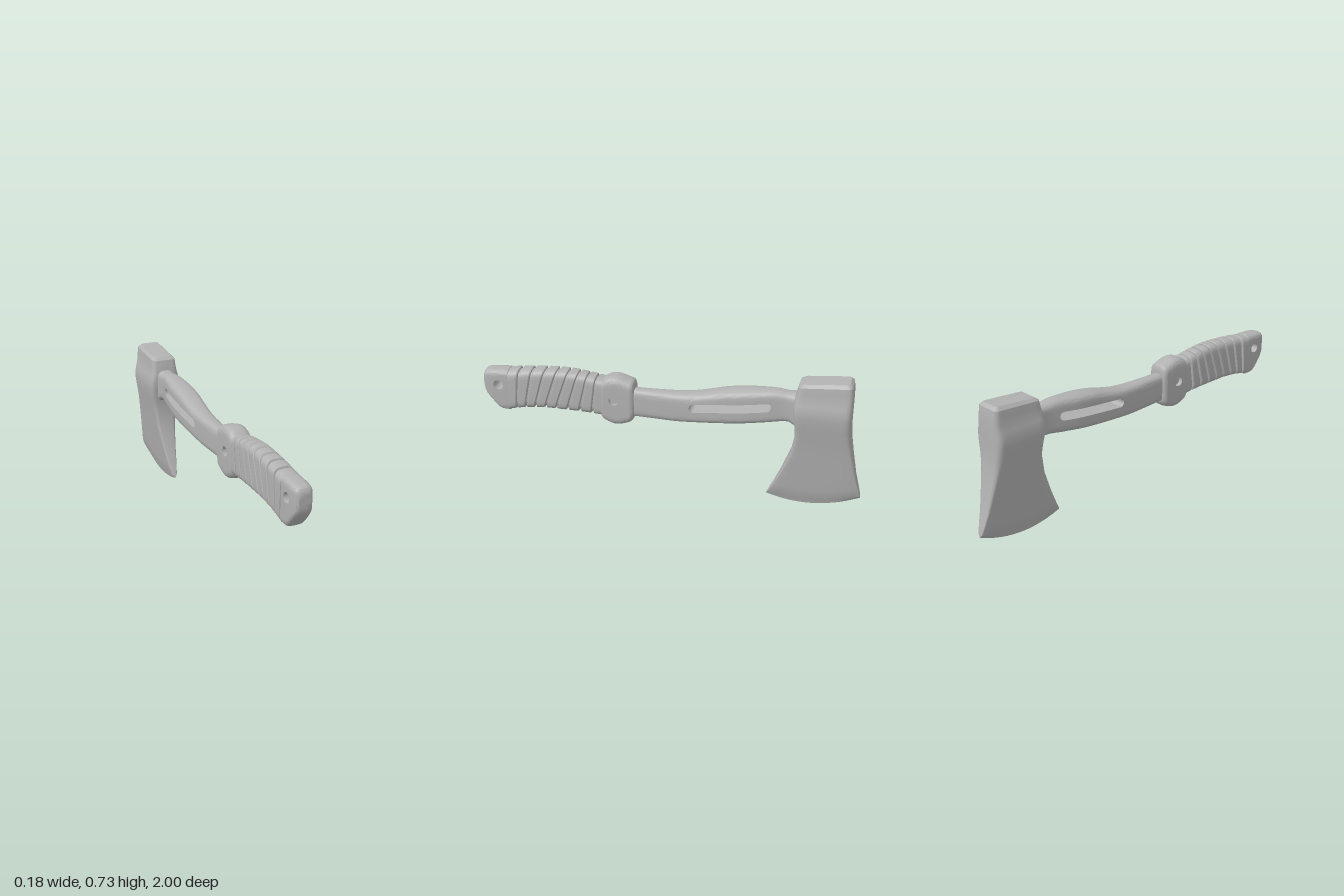
import * as THREE from 'three';
import { toCreasedNormals } from 'three/addons/utils/BufferGeometryUtils.js';

const steel = new THREE.MeshStandardMaterial({ color: 0xb2b2b2 });
steel.name = 'grey';

// Smooth curve without overshoot through [position, value] pairs
function curve(pts) {
  const p = [...pts].sort((a, b) => a[0] - b[0]);
  const d = p.slice(1).map((q, i) => (q[1] - p[i][1]) / (q[0] - p[i][0]));
  const m = p.map((_, i) => {
    const a = d[Math.max(i - 1, 0)], b = d[Math.min(i, d.length - 1)];
    return a * b <= 0 ? 0 : (2 * a * b) / (a + b);
  });
  return (x) => {
    if (x <= p[0][0]) return p[0][1];
    if (x >= p[p.length - 1][0]) return p[p.length - 1][1];
    let i = 0;
    while (x > p[i + 1][0]) i++;
    const h = p[i + 1][0] - p[i][0], t = (x - p[i][0]) / h, s = 1 - t;
    return p[i][1] * (1 + 2 * t) * s * s + p[i + 1][1] * t * t * (3 - 2 * t)
      + h * m[i] * t * s * s - h * m[i + 1] * t * t * s;
  };
}

// Closed skin over a row of rings of [x, y, z] points, capped at both ends
function loft(name, rings, crease = 0.6) {
  const n = rings[0].length, pos = rings.flat(2), idx = [];
  for (let i = 0; i < rings.length - 1; i++) {
    for (let j = 0; j < n; j++) {
      const a = i * n + j, b = i * n + (j + 1) % n;
      idx.push(a, b, a + n, b, b + n, a + n);
    }
  }
  [0, rings.length - 1].forEach((r) => {
    const c = pos.length / 3;
    for (let k = 0; k < 3; k++) pos.push(rings[r].reduce((s, p) => s + p[k], 0) / n);
    for (let j = 0; j < n; j++) {
      const a = r * n + j, b = r * n + (j + 1) % n;
      if (r === 0) idx.push(b, a, c); else idx.push(a, b, c);
    }
  });
  // Turn the faces outward if the enclosed volume is negative
  const v = (i) => new THREE.Vector3().fromArray(pos, i * 3);
  let volume = 0;
  for (let i = 0; i < idx.length; i += 3) volume += v(idx[i]).dot(v(idx[i + 1]).cross(v(idx[i + 2])));
  if (volume < 0) idx.reverse();
  const g = new THREE.BufferGeometry();
  g.setAttribute('position', new THREE.Float32BufferAttribute(pos, 3));
  g.setIndex(idx);
  const mesh = new THREE.Mesh(toCreasedNormals(g, crease), steel);
  mesh.name = name;
  return mesh;
}

// Rounded arch from side to side, from the rim at y = edge - h to y = edge
function arch(w, edge, h, z) {
  const out = [];
  for (let k = 0; k <= 16; k++) {
    const a = (k / 16) * Math.PI, c = Math.cos(a);
    out.push([Math.sign(c) * w * Math.abs(c) ** 0.7, edge - h + h * Math.max(Math.sin(a), 0) ** 0.7, z]);
  }
  return out;
}

// Bar along z with a round-ended slot through it, made as an upper and a lower half
function slottedBar(name, { top, bottom, width, z0, z1, round, slot }) {
  const T = curve(top), B = curve(bottom), W = curve(width), { a, b, r, y } = slot;
  const zs = [];
  for (let k = 0; k <= 44; k++) zs.push(z0 + (z1 - z0) * k / 44);
  for (let k = 0; k <= 8; k++) {
    const d = r * (1 - Math.cos(k * Math.PI / 16));
    zs.push(a + d, b - d);
  }
  zs.sort((p, q) => p - q);
  const gap = (z) => {
    const d = Math.min(z - a, b - z);
    return d <= 0 ? 0 : d < r ? Math.sqrt(r * r - (r - d) ** 2) : r;
  };
  const half = (edge, s) => loft(s > 0 ? 'upperHalf' : 'lowerHalf', zs.map((z) => {
    const rim = y(z) + s * gap(z), e = edge(z), w = W(z);
    const h = s * Math.min(round, Math.abs(e - rim) * 0.95);
    return [[w, rim, z], ...arch(w, e, h, z), [-w, rim, z]];
  }));
  const group = new THREE.Group();
  group.name = name;
  group.add(half(T, 1), half(B, -1));
  return group;
}

// Axe head: rounded rectangles stacked from the poll down to the curved edge
function axeHead() {
  // yFront, yBack, sag, zFront, zBack, half width, corner radius
  const rows = [
    [0.705, 0.727, 0, -0.675, -0.9, 0.05, 0.015],
    [0.69, 0.712, 0, -0.655, -0.915, 0.066, 0.02],
    [0.66, 0.68, 0, -0.648, -0.92, 0.07, 0.025],
    [0.63, 0.64, 0, -0.64, -0.922, 0.072, 0.025],
    [0.6, 0.605, 0, -0.637, -0.922, 0.081, 0.03],
    [0.57, 0.57, 0, -0.635, -0.922, 0.088, 0.03],
    [0.53, 0.53, 0, -0.636, -0.922, 0.087, 0.03],
    [0.47, 0.47, 0, -0.645, -0.923, 0.078, 0.028],
    [0.41, 0.41, 0, -0.65, -0.928, 0.066, 0.022],
    [0.3, 0.31, 0, -0.63, -0.945, 0.051, 0.014],
    [0.18, 0.2, 0.01, -0.585, -0.967, 0.035, 0.008],
    [0.1, 0.13, 0.02, -0.55, -0.986, 0.024, 0.005],
    [0.05, 0.085, 0.035, -0.525, -0.998, 0.0145, 0.003],
    [0.03, 0.07, 0.05, -0.515, -1, 0.0005, 0.0003],
  ];
  return loft('axeHead', rows.map(([yf, yb, sag, zf, zb, w, r]) => {
    const side = [];
    for (let k = 0; k <= 4; k++) {
      const a = (k / 4) * Math.PI / 2;
      side.push([w - r + r * Math.sin(a), zf - r + r * Math.cos(a)]);
    }
    for (let k = 1; k < 12; k++) side.push([w, zf - r + (zb - zf + 2 * r) * k / 12]);
    for (let k = 0; k <= 4; k++) {
      const a = (k / 4) * Math.PI / 2;
      side.push([w - r + r * Math.cos(a), zb + r - r * Math.sin(a)]);
    }
    const ring = [...side, ...side.map(([x, z]) => [-x, z]).reverse()];
    return ring.map(([x, z]) => {
      const u = (zf - z) / (zf - zb);
      return [x, yf + (yb - yf) * u - 4 * sag * u * (1 - u), z];
    });
  }), 0.5);
}

// Grip wrap: slanted raised bands with narrow grooves between them
function gripWrap() {
  const T = curve([[0.33, 0.6], [0.45, 0.616], [0.6, 0.627], [0.72, 0.62], [0.86, 0.598]]);
  const B = curve([[0.33, 0.395], [0.45, 0.402], [0.6, 0.402], [0.72, 0.393], [0.86, 0.37]]);
  const z0 = 0.33, z1 = 0.862, bands = 9, step = (z1 - z0) / bands, rings = [];
  const ring = (t, inset) => {
    const top = T(t) - inset, bottom = B(t) + inset, w = 0.054 - inset;
    const slant = 0.35 * Math.sin(Math.PI * (t - z0) / (z1 - z0));
    rings.push([...arch(w, top, 0.05, t), ...arch(-w, bottom, -0.05, t)]
      .map(([x, y, z]) => [x, y, z - slant * (y - 0.5)]));
  };
  for (let i = 0; i < bands; i++) {
    const t = z0 + i * step;
    ring(t, 0.011);
    ring(t + 0.009, 0.011);
    ring(t + 0.011, 0.003);
    ring(t + 0.015, 0);
    ring(t + step - 0.004, 0);
    ring(t + step - 0.001, 0.003);
  }
  return loft('gripWrap', rings, 0.5);
}

export function createModel() {
  const model = new THREE.Group();
  model.name = 'hatchet';

  // Shaft with its long slot, running on inside the grip as a tang
  const shaft = slottedBar('shaft', {
    z0: -0.7, z1: 0.6, round: 0.045,
    top: [[0.6, 0.56], [0.19, 0.56], [0, 0.563], [-0.1, 0.57], [-0.2, 0.59], [-0.3, 0.615], [-0.45, 0.634],
      [-0.55, 0.64], [-0.61, 0.634], [-0.65, 0.636]],
    bottom: [[0.6, 0.42], [0.19, 0.405], [0, 0.405], [-0.2, 0.42], [-0.35, 0.437], [-0.5, 0.46], [-0.61, 0.476], [-0.65, 0.455]],
    width: [[0.6, 0.035], [0.19, 0.036], [0, 0.044], [-0.2, 0.055], [-0.38, 0.06], [-0.5, 0.051], [-0.6, 0.042],
      [-0.63, 0.045], [-0.66, 0.06]],
    slot: { a: -0.525, b: -0.108, r: 0.023, y: (z) => 0.488 - 0.13 * z },
  });

  // Bolster with round recess
  const bolster = slottedBar('bolster', {
    z0: 0.183, z1: 0.355, round: 0.05,
    top: [[0.183, 0.585], [0.19, 0.602], [0.21, 0.61], [0.28, 0.627], [0.31, 0.623], [0.345, 0.605], [0.355, 0.595]],
    bottom: [[0.183, 0.405], [0.19, 0.39], [0.21, 0.372], [0.28, 0.353], [0.31, 0.36], [0.345, 0.378], [0.355, 0.39]],
    width: [[0.183, 0.046], [0.19, 0.053], [0.2, 0.057], [0.34, 0.057], [0.35, 0.055], [0.355, 0.05]],
    slot: { a: 0.26, b: 0.312, r: 0.026, y: () => 0.5 },
  });

  // Pommel with lanyard hole
  const pommel = slottedBar('pommel', {
    z0: 0.855, z1: 1, round: 0.035,
    top: [[0.855, 0.59], [0.863, 0.6], [0.93, 0.596], [0.975, 0.59], [0.99, 0.584], [1, 0.565]],
    bottom: [[0.855, 0.375], [0.863, 0.365], [0.9, 0.366], [0.92, 0.375], [0.95, 0.407], [0.985, 0.45], [0.995, 0.468], [1, 0.49]],
    width: [[0.855, 0.042], [0.863, 0.048], [0.94, 0.048], [0.975, 0.045], [0.99, 0.04], [1, 0.03]],
    slot: { a: 0.889, b: 0.941, r: 0.026, y: () => 0.515 },
  });

  model.add(axeHead(), shaft, bolster, gripWrap(), pommel);
  return model;
}
